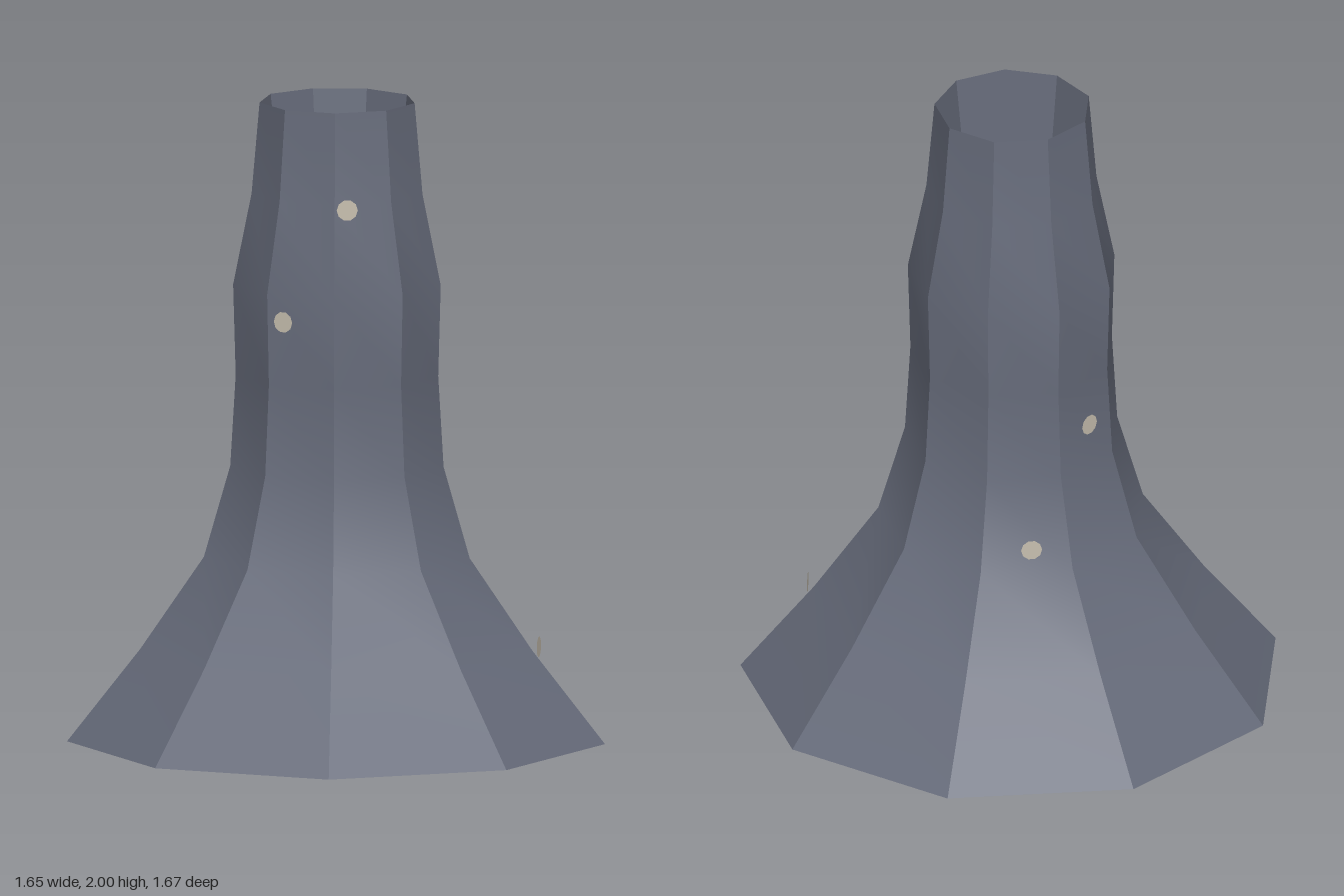
import * as THREE from 'three';
import { toCreasedNormals } from 'three/addons/utils/BufferGeometryUtils.js';

const AXIS_X = -0.026; // nine-sided shape is balanced about its bounding box
const SIDES = 9;

// Nine-sided lathe with a corner on +x, hard edges between the columns
function facetedLathe(profile) {
  const points = profile.map(([r, y]) => new THREE.Vector2(r, y));
  const lathe = new THREE.LatheGeometry(points, SIDES, Math.PI / 2);
  return toCreasedNormals(lathe, 0.42);
}

export function createModel() {
  const model = new THREE.Group();
  model.name = 'chimney';
  const tower = new THREE.Group();
  tower.name = 'tower';
  tower.position.x = AXIS_X;
  model.add(tower);

  const rock = new THREE.MeshStandardMaterial({ color: 0x666b7a, side: THREE.DoubleSide });
  const pale = new THREE.MeshStandardMaterial({ color: 0xc8c0b0, side: THREE.DoubleSide });

  // Flared outer wall, evenly spaced rings from base to rim
  const radii = [0.85, 0.62, 0.42, 0.337, 0.32, 0.328, 0.27, 0.245];
  const wall = new THREE.Mesh(facetedLathe(radii.map((r, i) => [r, (i * 2) / 7])), rock);
  wall.name = 'outerWall';
  tower.add(wall);

  // Deep funnel from the rim down to a point at the base
  const funnel = new THREE.Mesh(facetedLathe([[0.245, 2], [0, 0]]), rock);
  funnel.name = 'innerFunnel';
  tower.add(funnel);

  // Small upright discs scattered up the wall: [angle from +x towards +z, distance, height]
  const spots = [
    [0, 0.64, 0.3],
    [-102, 0.407, 0.65],
    [-140, 0.33, 1.0],
    [108, 0.341, 1.35],
    [72, 0.283, 1.7],
  ];
  const discGeometry = new THREE.CircleGeometry(0.033, 10);
  spots.forEach(([degrees, r, y], i) => {
    const a = THREE.MathUtils.degToRad(degrees);
    const disc = new THREE.Mesh(discGeometry, pale);
    disc.name = `spot${i + 1}`;
    disc.position.set(r * Math.cos(a), y, r * Math.sin(a));
    disc.rotation.y = Math.PI / 2 - a;
    tower.add(disc);
  });

  return model;
}
